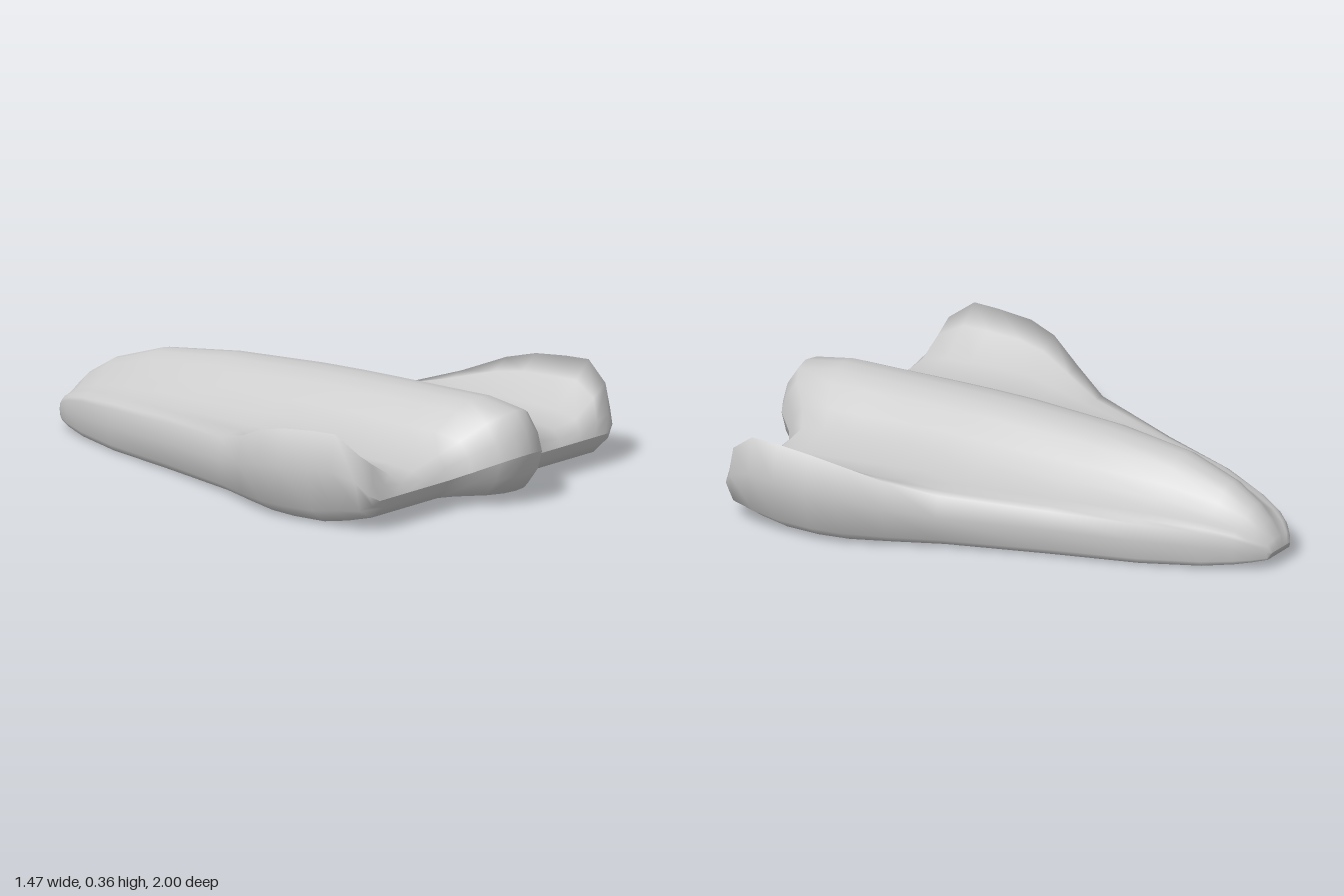
import * as THREE from 'three';

const { lerp, clamp, smoothstep } = THREE.MathUtils;

// Hull stations from nose to tail: z, half width, crest y, wing edge y, bottom y
const stations = [
  [-1.0, 0.06, 0.09, 0.08, 0.04],
  [-0.99, 0.075, 0.1, 0.08, 0.037],
  [-0.95, 0.12, 0.15, 0.1, 0.033],
  [-0.9, 0.155, 0.2, 0.12, 0.026],
  [-0.8, 0.208, 0.26, 0.14, 0.015],
  [-0.6, 0.3, 0.322, 0.16, 0.01],
  [-0.3, 0.4, 0.35, 0.175, 0.008],
  [0.06, 0.54, 0.36, 0.198, 0.005],
  [0.22, 0.635, 0.36, 0.245, 0.005],
  [0.36, 0.71, 0.358, 0.3, 0.004],
  [0.47, 0.735, 0.356, 0.325, 0.003],
  [0.6, 0.735, 0.353, 0.335, 0.003],
  [0.7, 0.735, 0.35, 0.337, 0.02],
  [0.79, 0.712, 0.322, 0.27, 0.04],
  [0.825, 0.68, 0.31, 0.22, 0.045],
  [0.842, 0.64, 0.3, 0.2, 0.05],
];

// How far the central body reaches past the wings at a given x
const bodyShape = (x) => Math.pow(Math.max(0, 1 - (x / 0.2) ** 2), 0.75);

// Closed ring of points for one station, starting at the crest and passing over +x
function ring([z, w, crest, edge, bottom]) {
  const ridge = Math.min(0.2, 0.45 * w);
  const valley = 0.2 * Math.pow(crest / 0.35, 0.6) - 0.03 * smoothstep(z, 0.2, 0.85);
  const side = lerp(bottom, edge, 0.6);

  // Top from crest to wing edge: a bell-shaped ridge, then the upswept wing
  const onRidge = (t, drop) => [t * ridge, lerp(crest, valley, drop)];
  const onWing = (t, rise) => [lerp(1.25 * ridge, w, t), lerp(valley, edge, rise)];
  const top = [
    onRidge(0, 0), onRidge(0.28, 0.04), onRidge(0.58, 0.2), onRidge(0.9, 0.56),
    onRidge(1.25, 0.83), onWing(0.31, 0), onWing(0.58, 0.1), onWing(0.8, 0.62),
    onWing(0.945, 1),
  ];
  // Flat underside below the same x positions, with a raised outer corner
  const under = top.map(([x], i) =>
    [x, i === top.length - 1 ? lerp(bottom, side, 0.25) : bottom]).reverse();
  const half = [...top, [w, side], ...under];
  const mirrored = half.slice(1, -1).reverse().map(([x, y]) => [-x, y]);

  // Both ends close to a line; the body bulges back behind the wings
  const collapse = z > 0 ? clamp((z - 0.79) / 0.052, 0, 1) ** 2 : clamp((-0.99 - z) / 0.01, 0, 1);
  const push = 0.158 * smoothstep(z, 0.55, 0.842);
  return [...half, ...mirrored].map(([x, y]) => {
    const s = bodyShape(x);
    const middle = z > 0 ? 0.11 + 0.07 * s : 0.06;
    return [x, lerp(y, middle, collapse), z + push * s];
  });
}

// Skin the rings into one smooth surface
function loft(rings) {
  const n = rings[0].length;
  const index = [];
  for (let j = 0; j < rings.length - 1; j++) {
    for (let i = 0; i < n; i++) {
      const a = j * n + i;
      const b = j * n + ((i + 1) % n);
      index.push(a, a + n, b, b, a + n, b + n);
    }
  }
  const geometry = new THREE.BufferGeometry();
  geometry.setAttribute('position', new THREE.Float32BufferAttribute(rings.flat(2), 3));
  geometry.setIndex(index);
  geometry.computeVertexNormals();
  return geometry;
}

export function createModel() {
  const group = new THREE.Group();
  group.name = 'gliderCraft';

  // Blended body, delta wings and upturned wing tips
  const hull = new THREE.Mesh(
    loft(stations.map(ring)),
    new THREE.MeshStandardMaterial({ color: 0xcccccc }),
  );
  hull.name = 'hull';
  group.add(hull);
  return group;
}
